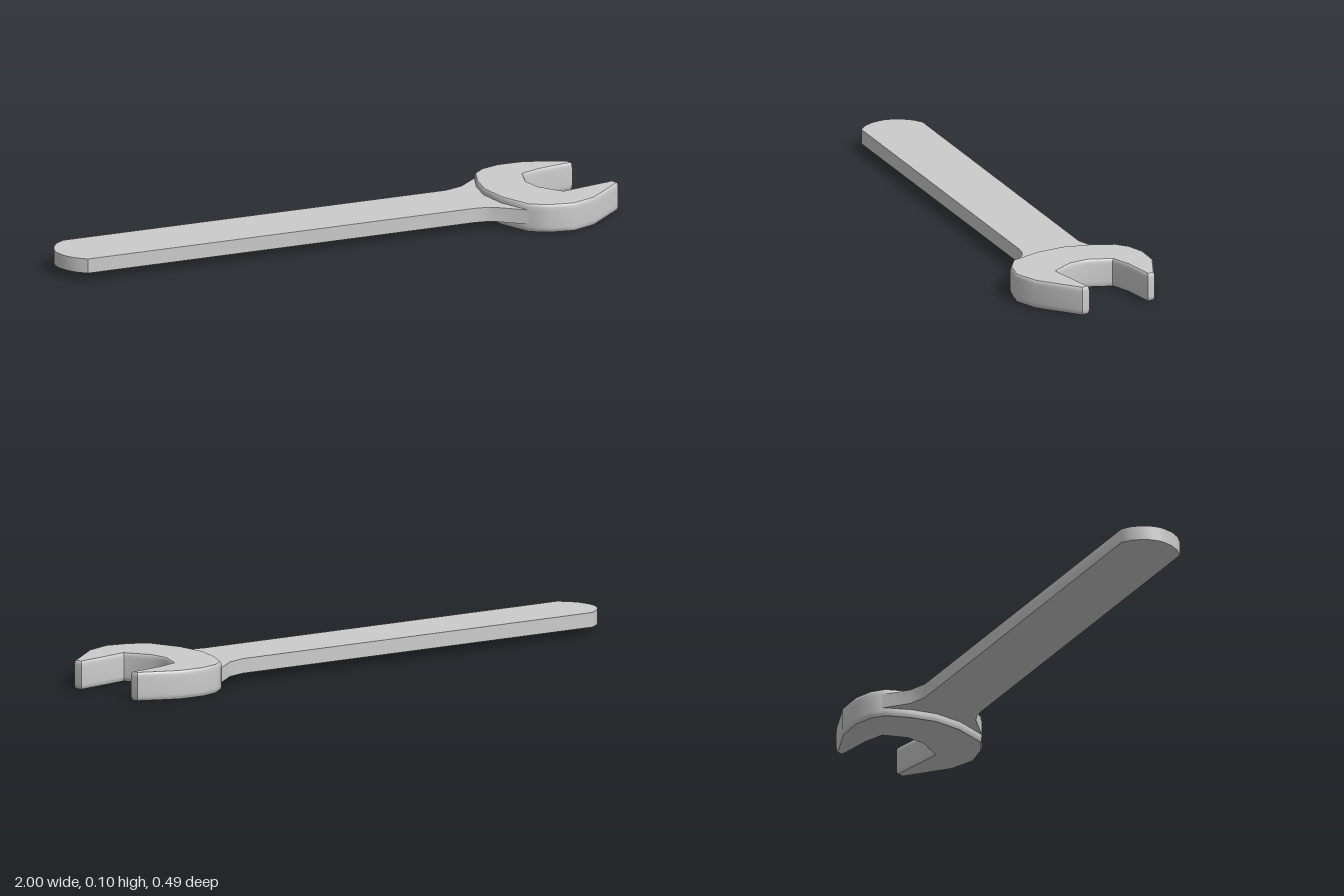
import * as THREE from 'three';
import { toCreasedNormals } from 'three/addons/utils/BufferGeometryUtils.js';

const material = new THREE.MeshStandardMaterial({ color: 0xcccccc });

// Flat plate from an [x, z] outline, standing between two heights, with an optional soft rim.
function plate(name, outline, bottom, top, rim = 0, rimHeight = 0) {
  const shape = new THREE.Shape(outline.map(([x, z]) => new THREE.Vector2(x, -z)));
  const geometry = new THREE.ExtrudeGeometry(shape, {
    depth: top - bottom - 2 * rimHeight,
    bevelEnabled: rim > 0,
    bevelSize: rim,
    bevelOffset: -rim,
    bevelThickness: rimHeight,
    bevelSegments: 3,
  });
  geometry.rotateX(-Math.PI / 2);
  geometry.translate(0, bottom + rimHeight, 0);
  const mesh = new THREE.Mesh(toCreasedNormals(geometry, 0.65), material);
  mesh.name = name;
  return mesh;
}

export function createModel() {
  const group = new THREE.Group();
  group.name = 'openEndWrench';

  // Handle: rounded butt, long shaft, flared neck running into the head
  const handle = [
    [-0.93, -0.096], [0.46, -0.11], [0.524, -0.132], [0.6, -0.198],
    [0.577, -0.11], [0.567, -0.016], [0.585, 0.086], [0.635, 0.196],
    [0.54, 0.124], [0.51, 0.113], [0.47, 0.108], [-0.93, 0.124],
    [-0.962, 0.099], [-0.985, 0.066], [-0.997, 0.033], [-1, 0.012],
    [-0.997, -0.013], [-0.985, -0.044], [-0.962, -0.075],
  ];
  group.add(plate('handle', handle, 0.027, 0.077));

  // Head: thicker open jaw, turned slightly from the shaft
  const head = [
    // outside, from the back jaw tip round to the front jaw tip
    [0.932, -0.198], [0.795, -0.247], [0.7, -0.248], [0.635, -0.226],
    [0.594, -0.19], [0.567, -0.107], [0.556, -0.016], [0.577, 0.086],
    [0.632, 0.194], [0.695, 0.228], [0.78, 0.242], [0.868, 0.207],
    [1, 0.088], [0.99, 0.059],
    // inside of the mouth
    [0.797, 0.1], [0.738, 0.027], [0.722, -0.04], [0.743, -0.121],
    [0.813, -0.147], [0.94, -0.17],
  ];
  group.add(plate('head', head, 0, 0.097, 0.005, 0.02));

  return group;
}
